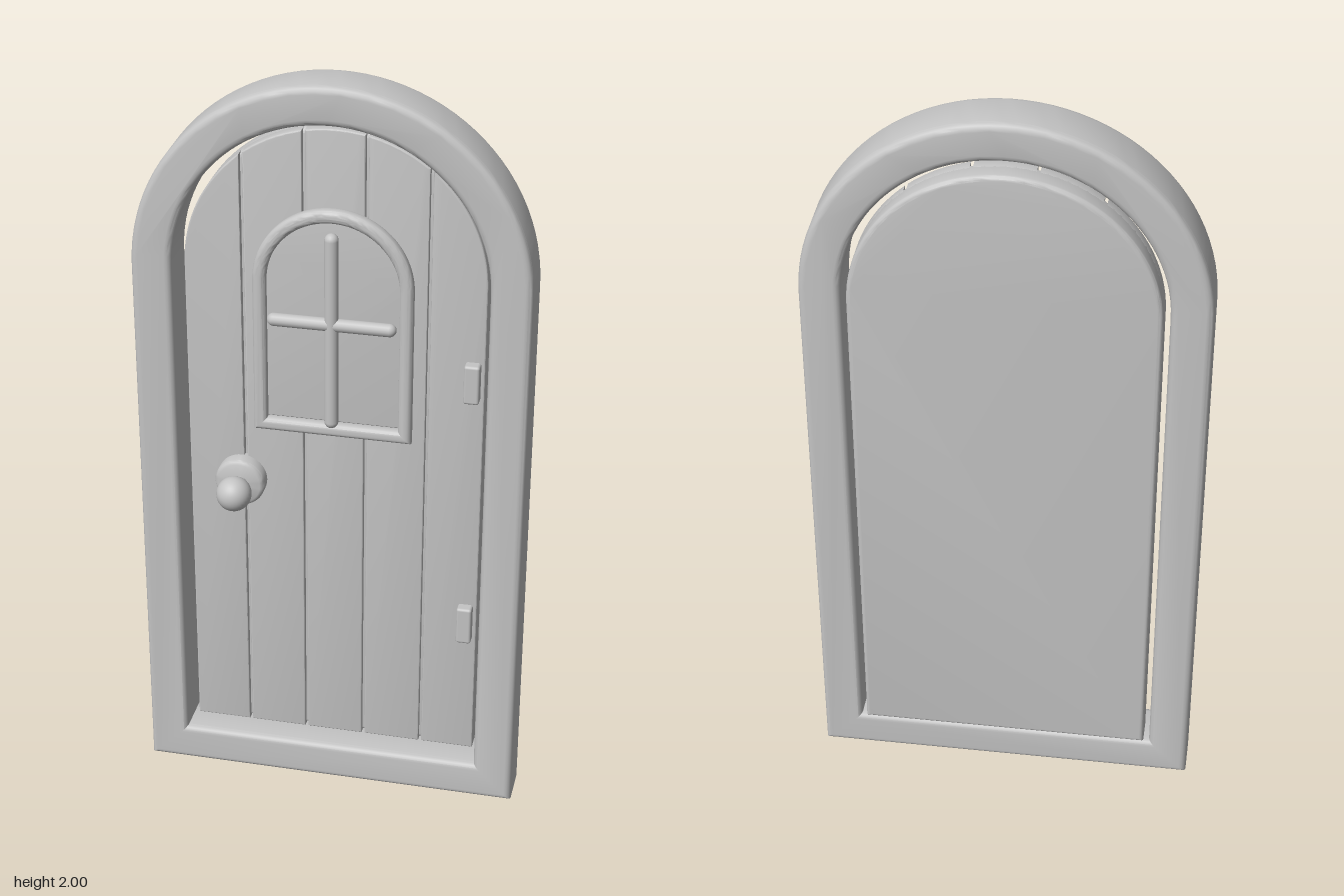
import * as THREE from 'three';
import { toCreasedNormals } from 'three/addons/utils/BufferGeometryUtils.js';
import { RoundedBoxGeometry } from 'three/addons/geometries/RoundedBoxGeometry.js';

const grey = new THREE.MeshStandardMaterial({ color: 0xc4c4c4 });
grey.name = 'plain grey';

// Points of a round-topped outline between x0 and x1, under an arch of radius r about (0, spring)
function archPoints(r, bottom, spring, x0 = -r, x1 = r, n = 48) {
  const pts = [new THREE.Vector2(x0, bottom), new THREE.Vector2(x1, bottom)];
  const a0 = Math.acos(Math.min(1, x1 / r)), a1 = Math.acos(Math.max(-1, x0 / r));
  for (let i = 0; i <= n; i++) {
    const a = a0 + (a1 - a0) * i / n;
    pts.push(new THREE.Vector2(r * Math.cos(a), spring + r * Math.sin(a)));
  }
  return pts;
}

// Bevelled plate filling z0..z1, with the bevel kept inside the outline
function plate(points, z0, z1, bevel, hole) {
  const shape = new THREE.Shape(points);
  if (hole) shape.holes.push(new THREE.Path(hole));
  const geo = new THREE.ExtrudeGeometry(shape, {
    depth: z1 - z0 - 2 * bevel, bevelThickness: bevel, bevelSize: bevel,
    bevelOffset: -bevel, bevelSegments: 4, curveSegments: 8,
  });
  geo.translate(0, 0, z0 + bevel);
  return toCreasedNormals(geo, 0.5);
}

export function createModel() {
  const model = new THREE.Group();
  model.name = 'archedDoor';
  const add = (name, geo, parent = model) => {
    const mesh = new THREE.Mesh(geo, grey);
    mesh.name = name;
    parent.add(mesh);
    return mesh;
  };
  const group = (name) => {
    const g = new THREE.Group();
    g.name = name;
    model.add(g);
    return g;
  };

  // Surround with a sill
  add('doorFrame', plate(archPoints(0.505, 0, 1.495), -0.1, 0.04, 0.018,
    archPoints(0.4, 0.105, 1.5)));

  // Door leaf: one backing slab with five planks on its front
  const door = group('door');
  add('doorBack', plate(archPoints(0.385, 0.112, 1.485), -0.11, -0.045, 0.012), door);
  const seams = [-0.389, -0.235, -0.077, 0.081, 0.24, 0.389];
  for (let i = 0; i < 5; i++) {
    const pts = archPoints(0.385, 0.112, 1.485, seams[i] + 0.004, seams[i + 1] - 0.004, 20);
    // the outer planks end where the arch meets the straight side
    add('plank' + (i + 1), plate(pts, -0.065, -0.03, 0.004), door);
  }

  // Window: pane, rounded surround, inner rim and crossed bars
  const windowGroup = group('window');
  add('pane', plate(archPoints(0.172, 1.083, 1.465), -0.035, -0.018, 0.003), windowGroup);
  const surround = plate(archPoints(0.205, 1.047, 1.465), -0.035, 0.003, 0.014,
    archPoints(0.17, 1.082, 1.465));
  add('windowSurround', surround, windowGroup);
  const upright = add('uprightBar', new THREE.CapsuleGeometry(0.018, 0.5, 6, 16), windowGroup);
  upright.position.set(0, 1.345, 0.002);
  const cross = add('crossBar', new THREE.CapsuleGeometry(0.017, 0.296, 6, 16), windowGroup);
  cross.rotation.z = Math.PI / 2;
  cross.position.set(0, 1.367, 0.002);

  // Knob on its round rose
  const knob = group('doorKnob');
  knob.position.set(-0.245, 0.885, 0);
  const roseProfile = [[0, -0.04], [0.066, -0.04], [0.066, 0.0], [0.063, 0.007], [0.056, 0.011], [0, 0.013]]
    .map(([r, y]) => new THREE.Vector2(r, y));
  const rose = add('rose', toCreasedNormals(new THREE.LatheGeometry(roseProfile, 40), 0.7), knob);
  rose.rotation.x = Math.PI / 2;
  const stem = add('stem', new THREE.CylinderGeometry(0.025, 0.025, 0.06, 24), knob);
  stem.rotation.x = Math.PI / 2;
  stem.position.z = 0.03;
  add('knobBall', new THREE.SphereGeometry(0.046, 32, 20), knob).position.z = 0.062;

  // Two hinge plates
  for (const [name, y] of [['upperHinge', 1.232], ['lowerHinge', 0.518]]) {
    add(name, new RoundedBoxGeometry(0.04, 0.106, 0.036, 3, 0.007)).position.set(0.355, y, -0.02);
  }
  return model;
}
